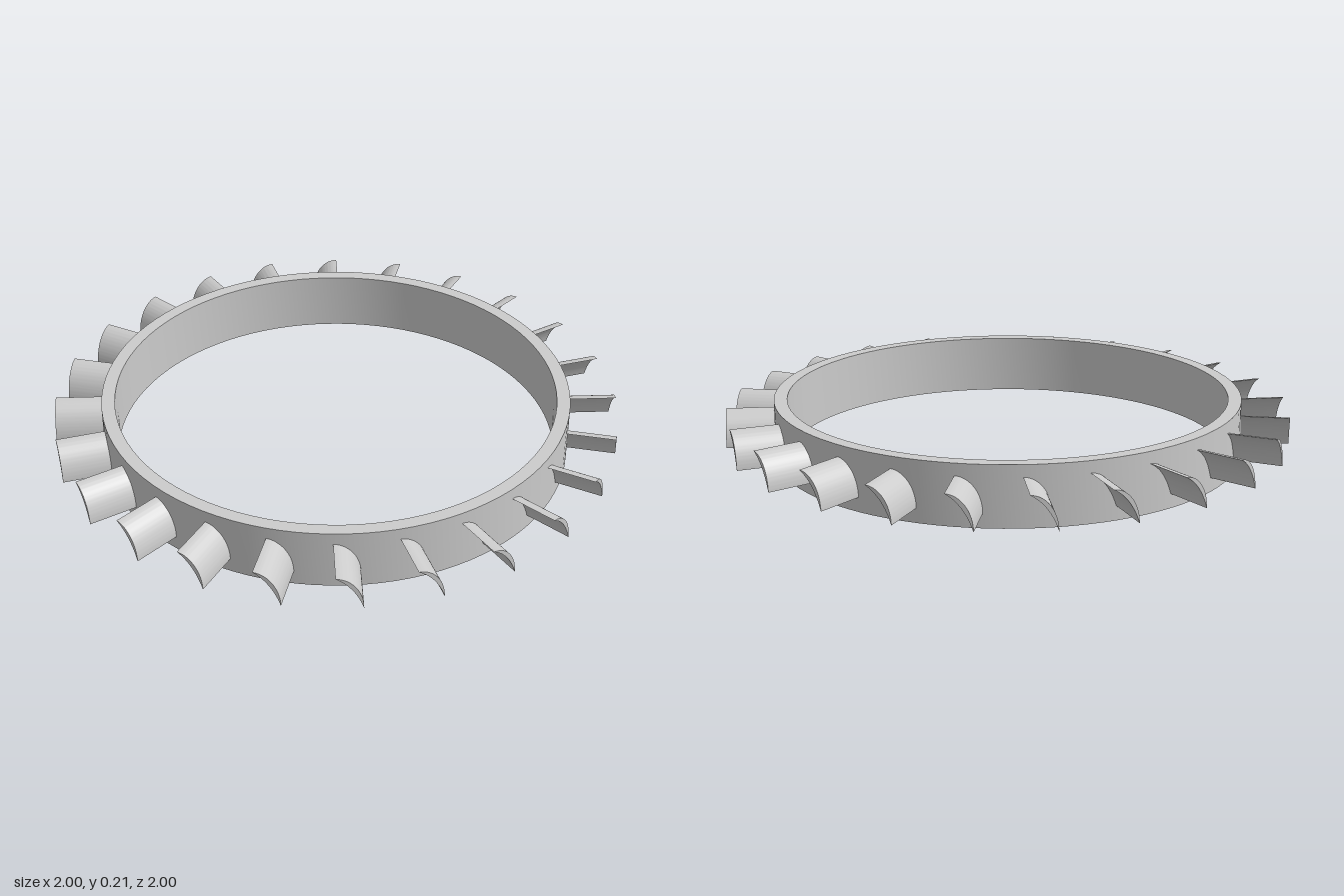
import * as THREE from 'three';
import { toCreasedNormals } from 'three/addons/utils/BufferGeometryUtils.js';

const BLADES = 24, OUTER = 0.83, INNER = 0.783, HEIGHT = 0.212;

// Crescent cross-section: quarter-ellipse back, shallower hollow face
function bladeGeometry() {
  const s = new THREE.Shape();
  s.moveTo(-0.045, 0.17);
  s.absellipse(-0.045, 0.05, 0.09, 0.12, Math.PI / 2, 0, true);
  s.quadraticCurveTo(0.016, 0.138, -0.045, 0.17);
  const g = new THREE.ExtrudeGeometry(s, { depth: 0.19, bevelEnabled: false, curveSegments: 16 });
  g.translate(0, 0, 0.81);
  return toCreasedNormals(g, 0.6);
}

export function createModel() {
  const group = new THREE.Group();
  const material = new THREE.MeshStandardMaterial({ color: 0xcccccc });

  // Rectangular-section hoop
  const profile = [[INNER, 0], [OUTER, 0], [OUTER, HEIGHT], [INNER, HEIGHT], [INNER, 0]]
    .map(([r, y]) => new THREE.Vector2(r, y));
  const ring = new THREE.Mesh(toCreasedNormals(new THREE.LatheGeometry(profile, 96), 0.6), material);
  ring.name = 'ring';
  group.add(ring);

  // Curved blades radiating from the hoop
  const blades = new THREE.Group();
  blades.name = 'blades';
  const geometry = bladeGeometry();
  for (let i = 0; i < BLADES; i++) {
    const blade = new THREE.Mesh(geometry, material);
    blade.name = 'blade';
    blade.rotation.y = (i / BLADES) * Math.PI * 2;
    blades.add(blade);
  }
  group.add(blades);
  return group;
}
